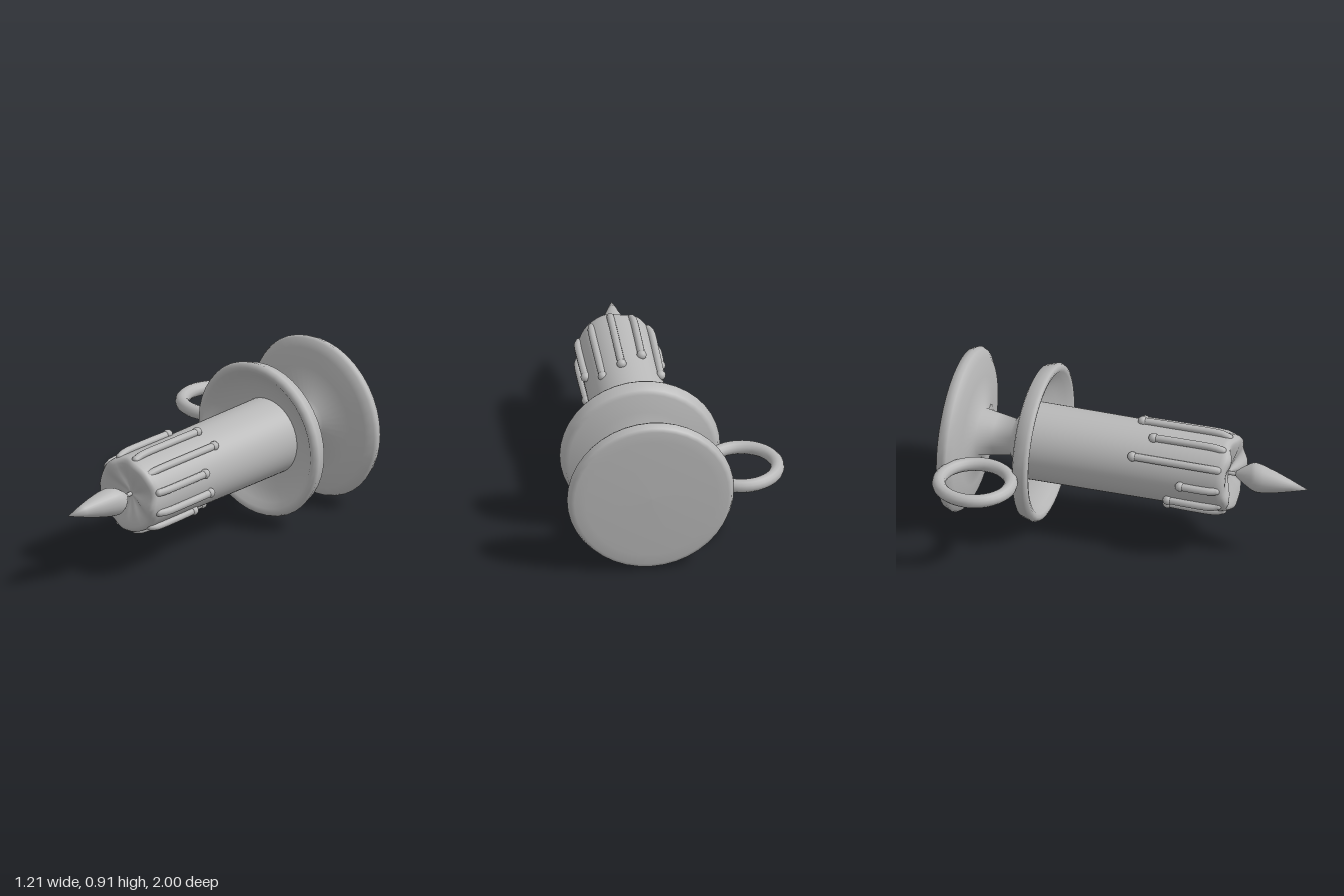
import * as THREE from 'three';
import { mergeVertices } from 'three/addons/utils/BufferGeometryUtils.js';

const wax = new THREE.MeshStandardMaterial({ color: 0xb8b8b8 });
wax.name = 'plain grey';

const lathe = (profile, segments) =>
  new THREE.LatheGeometry(profile.map(([r, h]) => new THREE.Vector2(r, h)), segments);

// Moves every vertex by a rule and rebuilds smooth, seamless normals
function reshape(geometry, rule) {
  const p = geometry.attributes.position;
  const v = new THREE.Vector3();
  for (let i = 0; i < p.count; i++) {
    rule(v.fromBufferAttribute(p, i));
    p.setXYZ(i, v.x, v.y, v.z);
  }
  geometry.deleteAttribute('uv');
  geometry.deleteAttribute('normal');
  const merged = mergeVertices(geometry, 1e-5);
  merged.computeVertexNormals();
  return merged;
}

export function createModel() {
  const model = new THREE.Group();
  model.name = 'candlestick';

  // Built upright around its axis, then laid down with the flame to the front
  const body = new THREE.Group();
  body.name = 'candleAndHolder';
  body.rotation.x = Math.PI / 2;
  body.position.set(0.147, 0.457, 0);
  model.add(body);

  const add = (name, geometry, parent = body) => {
    const mesh = new THREE.Mesh(geometry, wax);
    mesh.name = name;
    parent.add(mesh);
    return mesh;
  };

  // Foot disc, stem and drip saucer in one turned profile
  add('holder', lathe([
    [0, -1.0], [0.2, -0.997], [0.36, -0.992], [0.42, -0.988], [0.44, -0.98],
    [0.455, -0.945], [0.445, -0.925], [0.4, -0.9], [0.3, -0.885], [0.13, -0.86],
    [0.115, -0.77], [0.1, -0.675], [0.2, -0.615], [0.3, -0.592], [0.395, -0.567],
    [0.418, -0.555], [0.437, -0.495], [0.428, -0.477], [0.41, -0.47], [0.39, -0.475],
    [0.36, -0.5], [0.3, -0.535], [0.2, -0.565], [0, -0.57],
  ], 40));

  // Candle with a rippled, sunken top
  const candle = lathe([
    [0.213, -0.57], [0.212, -0.2], [0.21, 0.2], [0.211, 0.48], [0.212, 0.53], [0.208, 0.555],
    [0.197, 0.57], [0.18, 0.574], [0.155, 0.571], [0.12, 0.562], [0.08, 0.55], [0.04, 0.538], [0, 0.535],
  ], 60);
  add('candle', reshape(candle, (v) => {
    if (v.y < 0.5) return;
    const a = Math.atan2(v.z, v.x);
    const r = Math.hypot(v.x, v.z);
    const ripple = Math.sin(5 * a + 0.6) + 0.5 * Math.sin(8 * a);
    v.y += 0.009 * ripple * Math.min(1, r / 0.1) * Math.min(1, (v.y - 0.5) / 0.05);
  }));

  // Wick
  const wick = add('wick', new THREE.CylinderGeometry(0.01, 0.012, 0.1, 10));
  wick.position.y = 0.56;

  // Flame leaning a little to one side
  const flame = lathe([
    [0, 0.575], [0.015, 0.578], [0.045, 0.62], [0.072, 0.665], [0.08, 0.69],
    [0.076, 0.73], [0.058, 0.81], [0.032, 0.9], [0, 1.0],
  ], 24);
  add('flame', reshape(flame, (v) => {
    const h = v.y;
    v.y -= 0.3 * v.x;
    v.x -= 0.038 * Math.max(0, (h - 0.69) / 0.31);
  }));

  // Wax drips around the candle: lower end of each, going round the axis
  const drips = new THREE.Group();
  drips.name = 'waxDrips';
  body.add(drips);
  const ends = [0.17, 0.02, 0.04, 0.14, 0.05, 0.33, 0.25, 0.22, 0.0, 0.19, 0.13];
  ends.forEach((end, i) => {
    const a = THREE.MathUtils.degToRad(16.4 + (i * 360) / 11);
    const r = i === 1 ? 0.208 : 0.219;
    const at = (radius, h) => new THREE.Vector3(radius * Math.cos(a), h, -radius * Math.sin(a));
    const path = new THREE.CatmullRomCurve3([
      at(r - 0.012, 0.53), at(r, 0.495), at(r + 0.003, (end + 0.5) / 2), at(r, end),
    ]);
    add('drip', new THREE.TubeGeometry(path, 12, 0.021, 10), drips);
    add('dripTop', new THREE.SphereGeometry(0.021, 10, 8), drips).position.copy(at(r - 0.012, 0.53));
    add('dripBead', new THREE.SphereGeometry(0.027, 12, 8), drips).position.copy(at(r, end));
  });

  // Finger ring joining the foot and saucer on the right side
  const ring = add('fingerRing', new THREE.TorusGeometry(0.195, 0.037, 12, 40), model);
  ring.rotation.x = Math.PI / 2;
  ring.position.set(-0.375, 0.459, -0.735);

  return model;
}
